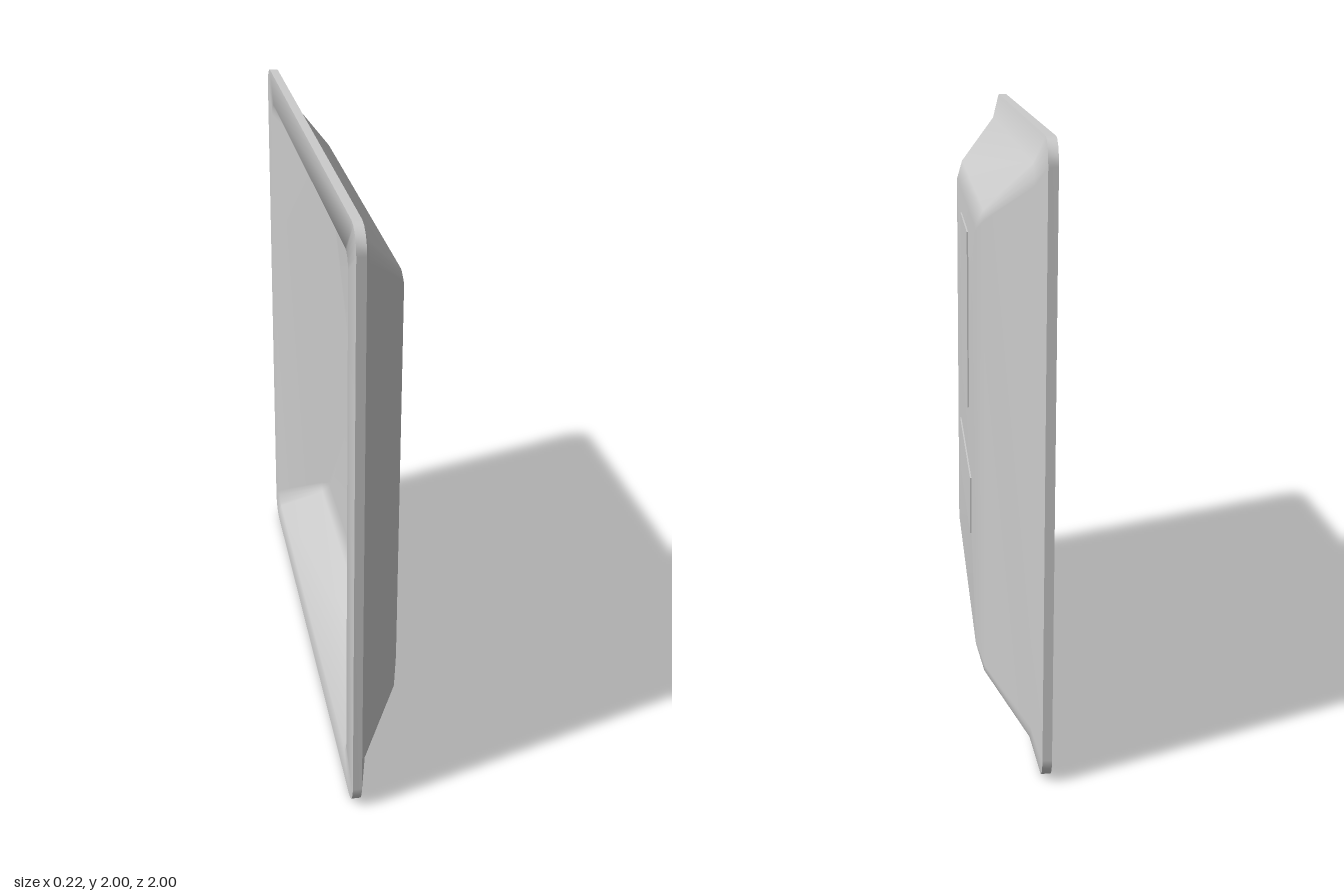
import * as THREE from 'three';

const STEPS = 5; // points per rounded corner

// Rounded rectangle in the y-z plane, counter-clockwise seen from +x
function ring([x, hy, hz, r]) {
  const pts = [];
  for (let corner = 0; corner < 4; corner++) {
    const su = corner === 0 || corner === 3 ? 1 : -1;
    const sv = corner < 2 ? 1 : -1;
    for (let i = 0; i < STEPS; i++) {
      const a = (corner + i / (STEPS - 1)) * Math.PI / 2;
      const u = su * (hz - r) + r * Math.cos(a);
      const v = sv * (hy - r) + r * Math.sin(a);
      pts.push(x, 1 + v, -u);
    }
  }
  return pts;
}

// Smooth skin through a list of rings; a ring of size 0 closes the skin
function loft(name, sections, material) {
  const n = STEPS * 4;
  const positions = sections.flatMap(ring);
  const index = [];
  for (let s = 0; s < sections.length - 1; s++) {
    for (let i = 0; i < n; i++) {
      const j = (i + 1) % n;
      const a = s * n + i, b = s * n + j, c = b + n, d = a + n;
      index.push(a, b, c, a, c, d);
    }
  }
  const geometry = new THREE.BufferGeometry();
  geometry.setAttribute('position', new THREE.Float32BufferAttribute(positions, 3));
  geometry.setIndex(index);
  geometry.computeVertexNormals();
  const mesh = new THREE.Mesh(geometry, material);
  mesh.name = name;
  return mesh;
}

export function createModel() {
  const group = new THREE.Group();
  group.name = 'panel';
  const material = new THREE.MeshStandardMaterial({ color: 0xcccccc });

  // Sections: x, half height, half width, corner radius
  const rimBack = [-0.11, 1, 1, 0.08];
  const rimFront = [-0.08, 1, 1, 0.08];

  // Raised face with sloping sides
  group.add(loft('raisedFace', [
    rimFront,
    [-0.052, 0.915, 0.9, 0.06],
    [0.082, 0.76, 0.71, 0.03],
    [0.105, 0.7, 0.625, 0.02],
    [0.105, 0, 0, 0],
  ], material));

  // Thin outer edge
  group.add(loft('rim', [rimBack, rimFront], material));

  // Hollow back with a flat border
  group.add(loft('hollowBack', [
    [0.07, 0, 0, 0],
    [0.07, 0.68, 0.6, 0.02],
    [0.045, 0.73, 0.67, 0.03],
    [-0.11, 0.885, 0.87, 0.05],
    rimBack,
  ], material));

  // Two slightly raised plates on the face
  const plates = [
    ['upperPlate', 1.315, 0.61, 0.45],
    ['lowerPlate', 0.7, 0.2, 0.73],
  ];
  for (const [name, y, height, width] of plates) {
    const plate = new THREE.Mesh(new THREE.BoxGeometry(0.015, height, width), material);
    plate.name = name;
    plate.position.set(0.1025, y, 0);
    group.add(plate);
  }
  return group;
}
